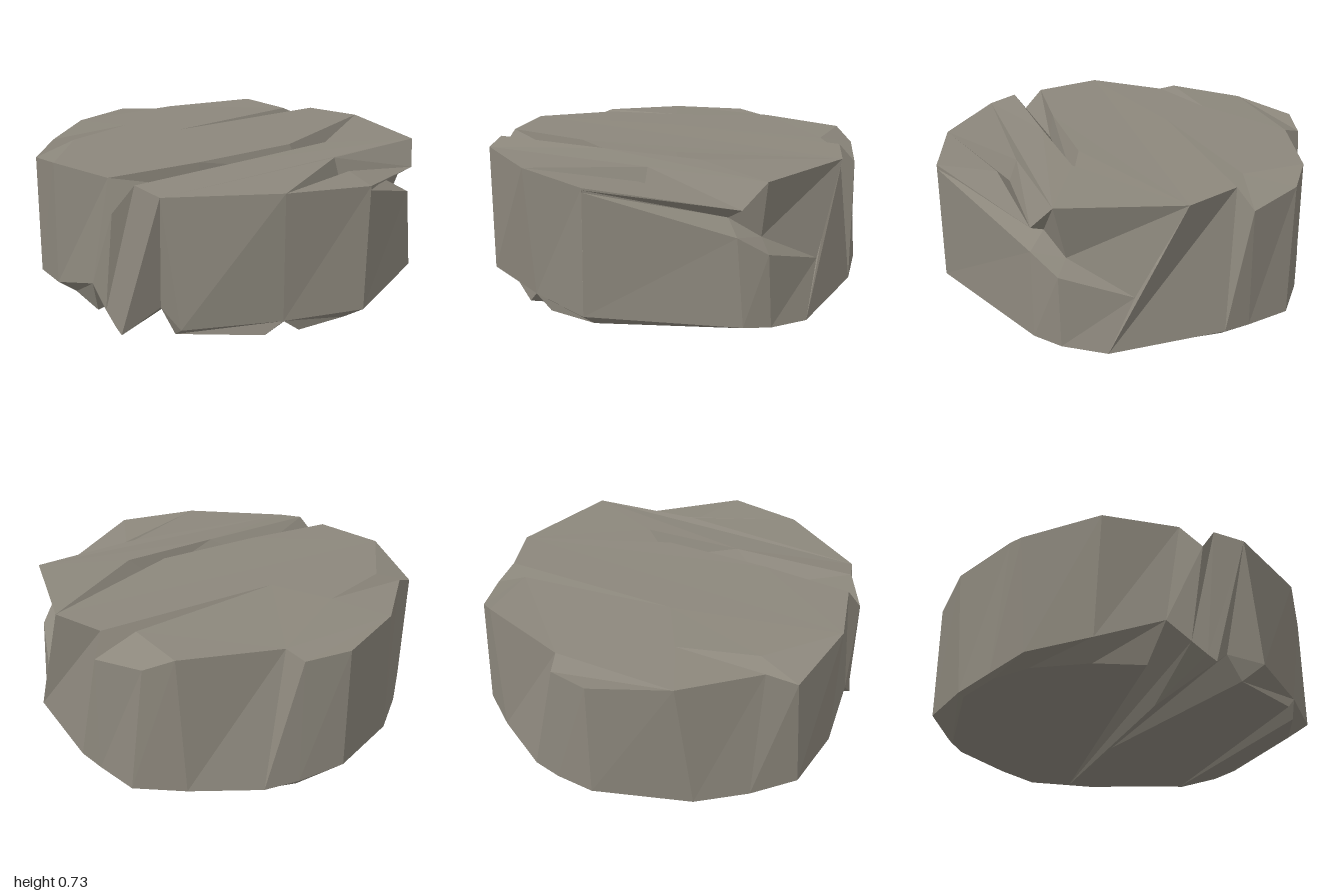
import * as THREE from 'three';

const v = (x, y, z) => new THREE.Vector3(x, y, z);
const points = (rows) => rows.map((r) => v(...r));

// Top rim, running left -> front -> right -> back
const T = points([
  [-1, 0.7, 0], [-0.87, 0.71, 0.37], [-0.6, 0.71, 0.7], [-0.54, 0.65, 0.84],
  [-0.17, 0.725, 0.94], [0.2, 0.725, 0.87], [0.3, 0.59, 0.92], [0.37, 0.725, 0.84],
  [0.52, 0.7, 0.81], [0.52, 0.7, 0.81], [0.52, 0.7, 0.81], [0.86, 0.715, 0.38],
  [0.995, 0.7, -0.02], [0.71, 0.6, -0.66], [0.63, 0.72, -0.75], [0.06, 0.715, -0.93],
  [-0.22, 0.72, -0.84], [-0.28, 0.62, -0.91], [-0.55, 0.66, -0.82], [-0.65, 0.72, -0.71],
  [-0.83, 0.71, -0.24], [-0.93, 0.68, -0.21],
]);

// Lower edge of the walls, same stations
const L = points([
  [-1, 0.08, 0], [-0.82, 0.02, 0.45], [-0.66, 0.02, 0.68], [-0.5, 0.04, 0.87],
  [-0.2, 0.09, 0.94], [0.12, 0.19, 0.93], [0.23, 0.09, 0.93], [0.3, 0.03, 0.925],
  [0.34, 0, 0.92], [0.42, 0.12, 0.75], [0.59, 0.07, 0.76], [0.83, 0.08, 0.35],
  [0.995, 0.09, -0.01], [0.72, 0.05, -0.68], [0.62, 0.03, -0.78], [0.43, 0.01, -0.89],
  [-0.14, 0.03, -0.945], [-0.28, 0.02, -0.92], [-0.51, 0.02, -0.88], [-0.68, 0.02, -0.68],
  [-0.88, 0.02, -0.38], [-0.94, 0.04, -0.22],
]);

// Base rim: slightly inset, except where a groove breaks through the edge
const inset = { 0: [-0.88, 0.01, 0.02], 3: [-0.48, 0.01, 0.77], 4: [-0.2, 0.01, 0.84], 10: [0.49, 0, 0.72],
  12: [0.88, 0.01, 0], 13: [0.66, 0.01, -0.6], 14: [0.58, 0.01, -0.72] };
const grooveEnds = [5, 6, 7, 8, 9, 11];
const B = L.map((p, i) => {
  if (inset[i]) return v(...inset[i]);
  return grooveEnds.includes(i) ? p.clone() : v(p.x * 0.97, 0.005, p.z * 0.97);
});

// Triangle list that skips collapsed faces
class Facets {
  constructor() { this.list = []; }
  tri(a, b, c) {
    const n = b.clone().sub(a).cross(c.clone().sub(a));
    if (n.length() > 1e-7) this.list.push(a, b, c);
  }
  quad(a0, b0, a1, b1) {
    this.tri(a0, b0, a1);
    this.tri(a1, b0, b1);
  }
  // Polygon triangulated in plan, facing up (+1) or down (-1)
  patch(loop, up) {
    const plan = loop.map((p) => new THREE.Vector2(p.x, p.z));
    for (const [i, j, k] of THREE.ShapeUtils.triangulateShape(plan, [])) {
      const [a, b, c] = [loop[i], loop[j], loop[k]];
      const ny = b.clone().sub(a).cross(c.clone().sub(a)).y;
      if (ny * up > 0) this.tri(a, b, c);
      else this.tri(a, c, b);
    }
  }
  mesh(name, material) {
    const g = new THREE.BufferGeometry().setFromPoints(this.list);
    g.computeVertexNormals();
    const m = new THREE.Mesh(g, material);
    m.name = name;
    return m;
  }
}

// Walls, with a slanting undercut cleft at the back right
function buildWalls(material) {
  const f = new Facets();
  const cleft = {
    12: [[0.995, 0.69, -0.02], [0.995, 0.68, -0.02]],
    13: [[0.62, 0.53, -0.56], [0.71, 0.47, -0.64]],
    14: [[0.56, 0.44, -0.7], [0.62, 0.38, -0.76]],
    15: [[0.3, 0.28, -0.89], [0.3, 0.28, -0.89]],
  };
  for (let i = 0; i < T.length; i++) {
    const j = (i + 1) % T.length;
    const column = (k) => [T[k], ...(cleft[i] && cleft[j] ? points(cleft[k]) : []), L[k], B[k]];
    const a = column(i), b = column(j);
    for (let r = 0; r < a.length - 1; r++) f.quad(a[r], a[r + 1], b[r], b[r + 1]);
  }
  return f.mesh('rockWalls', material);
}

// Upper face: three slabs parted by V-shaped grooves
function buildTop(material) {
  const f = new Facets();
  const tip = v(-0.58, 0.72, 0.25), notch = v(-0.49, 0.72, 0.64);
  const thinEnd = v(-0.29, 0.725, 0.1), thinRim = v(-0.32, 0.72, -0.71);
  const left1 = v(0.31, 0.725, -0.16), left2 = v(0.27, 0.725, 0.4);
  const floor1 = v(0.36, 0.6, -0.2), floor2 = v(0.29, 0.6, 0.4);
  const right1 = v(0.4, 0.725, -0.33), right2 = v(0.39, 0.725, 0.2);
  const ledge = v(0.63, 0.725, -0.16), ledgeFoot = v(0.67, 0.62, -0.16), ledgeOut = v(0.73, 0.68, -0.16);
  const patches = [
    // left slab and its short front groove
    [T[0], T[1], T[2], tip, notch, T[4], thinEnd, thinRim, T[19], T[20], T[21]],
    [tip, T[2], T[3]], [tip, T[3], notch], [notch, T[3], T[4]],
    // thin back groove
    [T[17], T[18], T[19], thinRim], [thinRim, thinEnd, T[17]], [T[17], thinEnd, T[16]],
    // middle slab
    [T[16], thinEnd, T[4], T[5], left2, left1, T[15]],
    // long groove
    [T[15], left1, floor1], [left1, left2, floor2, floor1], [left2, T[5], T[6], floor2],
    [T[15], floor1, right1], [right1, floor1, floor2, right2], [right2, floor2, T[6], T[7]],
    // right slab and stepped edge
    [T[15], right1, right2, T[7], T[8], T[11], ledge, T[14]],
    [T[14], ledge, ledgeFoot, T[13]], [ledge, T[11], ledgeFoot],
    [T[13], ledgeFoot, ledgeOut], [ledgeOut, ledgeFoot, T[11]], [T[13], ledgeOut, T[11], T[12]],
  ];
  patches.forEach((p) => f.patch(p, 1));
  return f.mesh('rockTop', material);
}

// Underside: flat slabs parted by three wedge grooves
function buildUnderside(material) {
  const f = new Facets();
  const lip = v(0.04, 0, 0.86), rim = v(0.12, 0, 0.4), tip = v(-0.05, 0, -0.2);
  const sideA = v(0.78, 0.01, 0.42), sideB = v(0.84, 0.01, 0.26);
  const patches = [
    [B[0], B[1], B[2], B[3], B[4], lip, B[17], B[18], B[19], B[20], B[21]],
    [B[4], lip, B[5]], [B[17], lip, B[5]], [B[17], rim, B[8], B[7], B[6], B[5]],
    [B[17], rim, B[8], tip, B[15], B[16]],
    [tip, B[8], B[9]], [tip, B[9], B[10]],
    [tip, B[10], sideA, B[15]], [B[10], sideA, B[11]],
    [B[15], sideA, B[11]], [B[15], B[11], sideB], [B[11], sideB, B[12]],
    [B[15], sideB, B[12], B[13], B[14]],
  ];
  patches.forEach((p) => f.patch(p, -1));
  return f.mesh('rockUnderside', material);
}

export function createModel() {
  const stone = new THREE.MeshStandardMaterial({ color: 0x8c877c, flatShading: true, side: THREE.DoubleSide });
  stone.name = 'stone grey';
  const group = new THREE.Group();
  group.name = 'flatRock';
  group.add(buildWalls(stone), buildTop(stone), buildUnderside(stone));
  return group;
}
